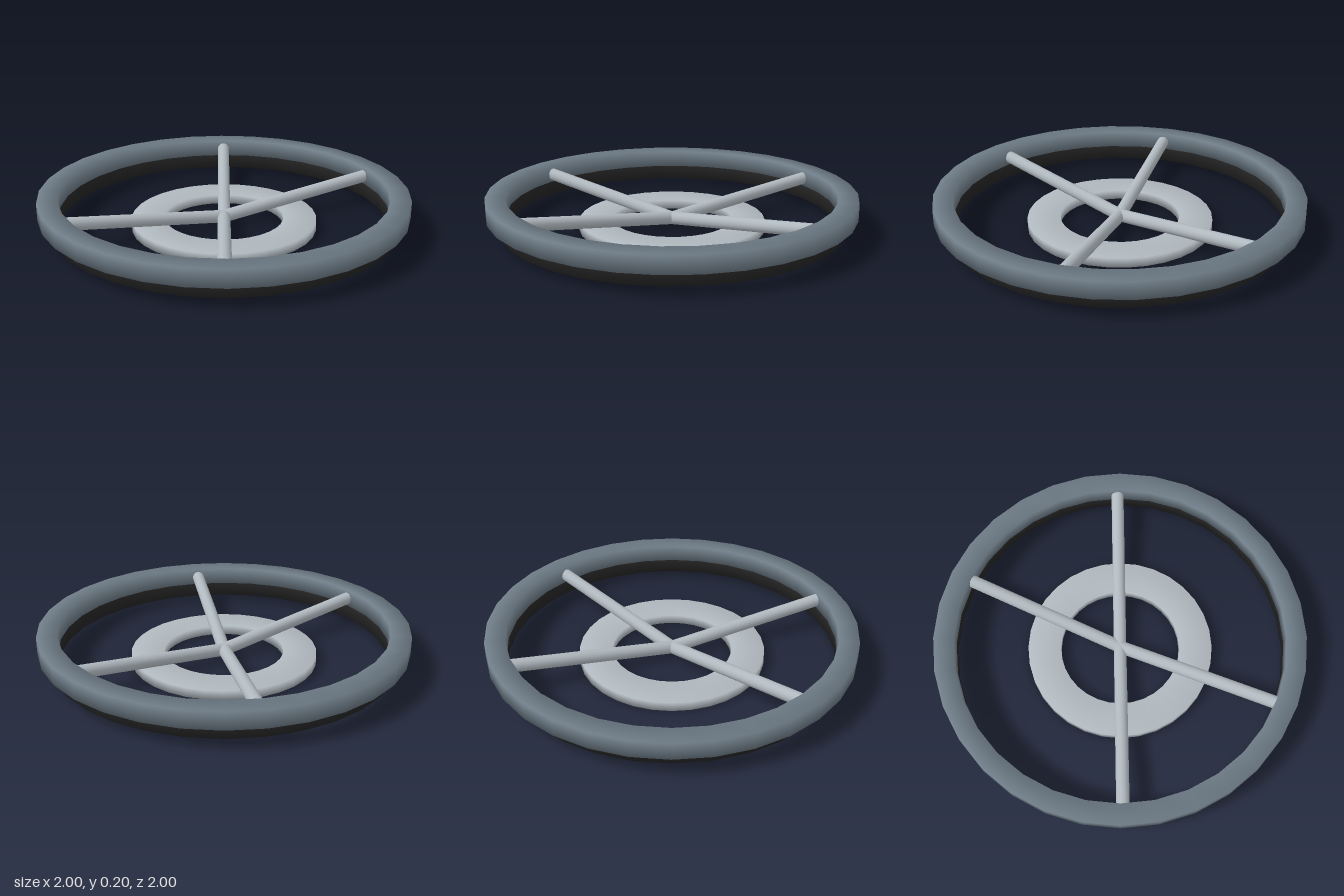
import * as THREE from 'three';
import { mergeVertices } from 'three/addons/utils/BufferGeometryUtils.js';

const rimSteel = new THREE.MeshStandardMaterial({ color: 0x6f7d88 });
const paleSteel = new THREE.MeshStandardMaterial({ color: 0xb0b9bf });
const blackRubber = new THREE.MeshStandardMaterial({ color: 0x222222 });
rimSteel.name = 'rimSteel';
paleSteel.name = 'paleSteel';
blackRubber.name = 'blackRubber';

// Ring of rectangular section with normals blended around its edges
function ring(name, inner, outer, bottom, top, material) {
  const profile = [[outer, bottom], [outer, top], [inner, top], [inner, bottom], [outer, bottom]]
    .map(([r, y]) => new THREE.Vector2(r, y));
  let geometry = new THREE.LatheGeometry(profile, 32);
  geometry.deleteAttribute('uv');
  geometry.deleteAttribute('normal');
  geometry = mergeVertices(geometry);
  geometry.computeVertexNormals();
  const mesh = new THREE.Mesh(geometry, material);
  mesh.name = name;
  return mesh;
}

// Round bar between two points
function bar(name, from, to, radius, material) {
  const along = new THREE.Vector3().subVectors(to, from);
  const mesh = new THREE.Mesh(new THREE.CylinderGeometry(radius, radius, along.length(), 16), material);
  mesh.position.copy(from).addScaledVector(along, 0.5);
  mesh.quaternion.setFromUnitVectors(new THREE.Vector3(0, 1, 0), along.normalize());
  mesh.name = name;
  return mesh;
}

export function createModel() {
  const model = new THREE.Group();
  model.name = 'spokedWheel';

  // Outer rim, the dark band beneath it, and the low hub ring
  model.add(ring('rim', 0.89, 1, 0.11, 0.205, rimSteel));
  model.add(ring('lowerBand', 0.892, 0.935, 0.03, 0.112, blackRubber));
  model.add(ring('hubRing', 0.325, 0.505, 0, 0.052, paleSteel));

  // Four spokes rising from the centre to the rim
  const spokes = new THREE.Group();
  spokes.name = 'spokes';
  const centre = new THREE.Vector3(0, 0.05, 0);
  for (const sx of [-1, 1]) {
    for (const sz of [-1, 1]) {
      const end = new THREE.Vector3(sx * 0.49, 0.155, sz * 0.755);
      spokes.add(bar('spoke', centre, end, 0.035, paleSteel));
    }
  }
  model.add(spokes);
  return model;
}
